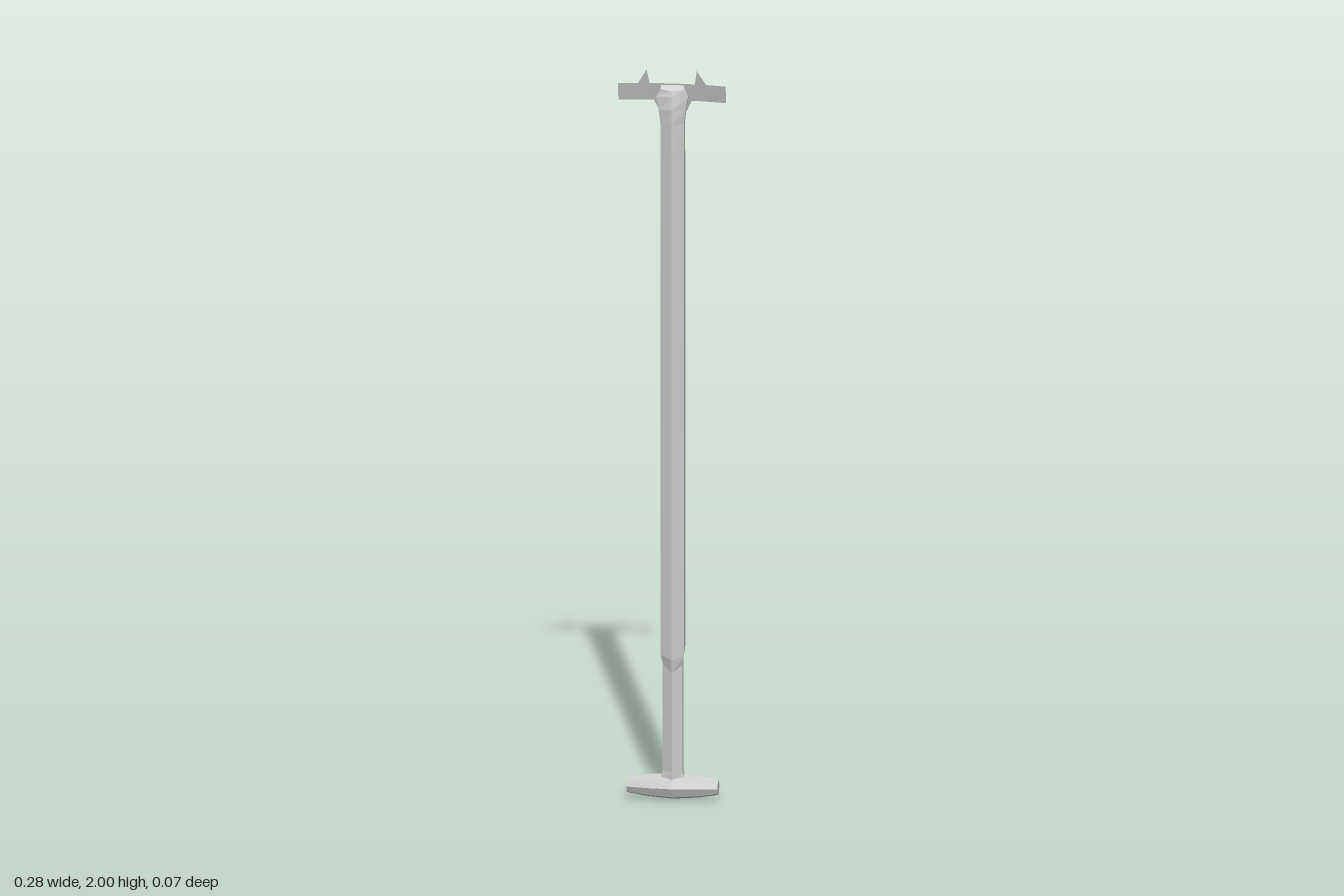
import * as THREE from 'three';

const material = new THREE.MeshStandardMaterial({ color: 0xcccccc, flatShading: true, side: THREE.DoubleSide });

function makeMesh(name, positions, index) {
  const indexed = new THREE.BufferGeometry();
  indexed.setAttribute('position', new THREE.Float32BufferAttribute(positions, 3));
  indexed.setIndex(index);
  const geometry = indexed.toNonIndexed();
  geometry.computeVertexNormals();
  const mesh = new THREE.Mesh(geometry, material);
  mesh.name = name;
  return mesh;
}

// Six-sided bar; section = [front y, back y, half width, front z, back z]
function loftBar(name, sections) {
  const positions = [], index = [];
  for (const [yf, yb, w, f, b] of sections) {
    const at = (t) => [yf + (yb - yf) * t, f + (b - f) * t];
    const corners = [[0, 0], [1, 0.27], [1, 0.73], [0, 1], [-1, 0.73], [-1, 0.27]];
    for (const [side, t] of corners) {
      const [y, z] = at(t);
      positions.push(side * w, y, z);
    }
  }
  const last = (sections.length - 1) * 6;
  for (let i = 0; i < last; i += 6) {
    for (let j = 0; j < 6; j++) {
      const k = (j + 1) % 6;
      index.push(i + j, i + k, i + 6 + k, i + j, i + 6 + k, i + 6 + j);
    }
  }
  for (let j = 1; j < 5; j++) {
    index.push(0, j + 1, j, last, last + j, last + j + 1);
  }
  return makeMesh(name, positions, index);
}

export function createModel() {
  const model = new THREE.Group();
  model.name = 'longHandledTool';

  // Cross grip: a faceted barrel lying along x
  const profile = [[0, -0.12], [0.021, -0.12], [0.03, -0.065], [0.035, 0], [0.03, 0.065], [0.021, 0.12], [0, 0.12]];
  const gripGeometry = new THREE.LatheGeometry(profile.map(([r, y]) => new THREE.Vector2(r, y)), 8).toNonIndexed();
  gripGeometry.rotateZ(-Math.PI / 2);
  const grip = new THREE.Mesh(gripGeometry, material);
  grip.name = 'crossGrip';
  grip.position.y = 0.04;
  model.add(grip);

  // Slimmer shaft entering the grip
  model.add(loftBar('lowerShaft', [
    [0.045, 0.045, 0.036, 0.027, -0.029],
    [0.085, 0.085, 0.026, 0.026, -0.029],
    [0.43, 0.43, 0.026, 0.026, -0.029],
  ]));

  // Wider shaft with a slanted lower lip and a neck swept forward at the top
  model.add(loftBar('upperShaft', [
    [0.355, 0.41, 0.024, 0.027, -0.03],
    [0.39, 0.43, 0.031, 0.032, -0.031],
    [1.76, 1.76, 0.031, 0.032, -0.031],
    [1.85, 1.85, 0.031, 0.032, -0.021],
    [1.89, 1.89, 0.036, 0.031, -0.012],
    [1.925, 1.925, 0.042, 0.026, -0.001],
    [1.94, 1.96, 0.03, 0.022, 0.011],
  ]));

  // Curved, forward-leaning head plate with two ears; column = [x, bottom, top]
  const half = [[0, 1.88, 1.96], [0.036, 1.88, 1.96], [0.05, 1.911, 1.96], [0.06, 1.911, 1.96],
    [0.066, 1.911, 2.0], [0.09, 1.911, 1.96], [0.115, 1.911, 1.96], [0.142, 1.911, 1.96]];
  const columns = [...half.slice(1).reverse().map(([x, lo, hi]) => [-x, lo, hi]), ...half];
  const positions = [], index = [];
  const plateZ = (x, y) => 0.001 + (y - 1.911) * 0.27 + 0.65 * x * x;
  columns.forEach(([x, lo, hi], i) => {
    for (const y of [lo, Math.min(hi, 1.96), hi]) positions.push(x, y, plateZ(x, y));
    if (i === 0) return;
    for (let r = 0; r < 2; r++) {
      const a = (i - 1) * 3 + r, b = i * 3 + r;
      index.push(a, b, b + 1, a, b + 1, a + 1);
    }
  });
  model.add(makeMesh('headPlate', positions, index));

  return model;
}
